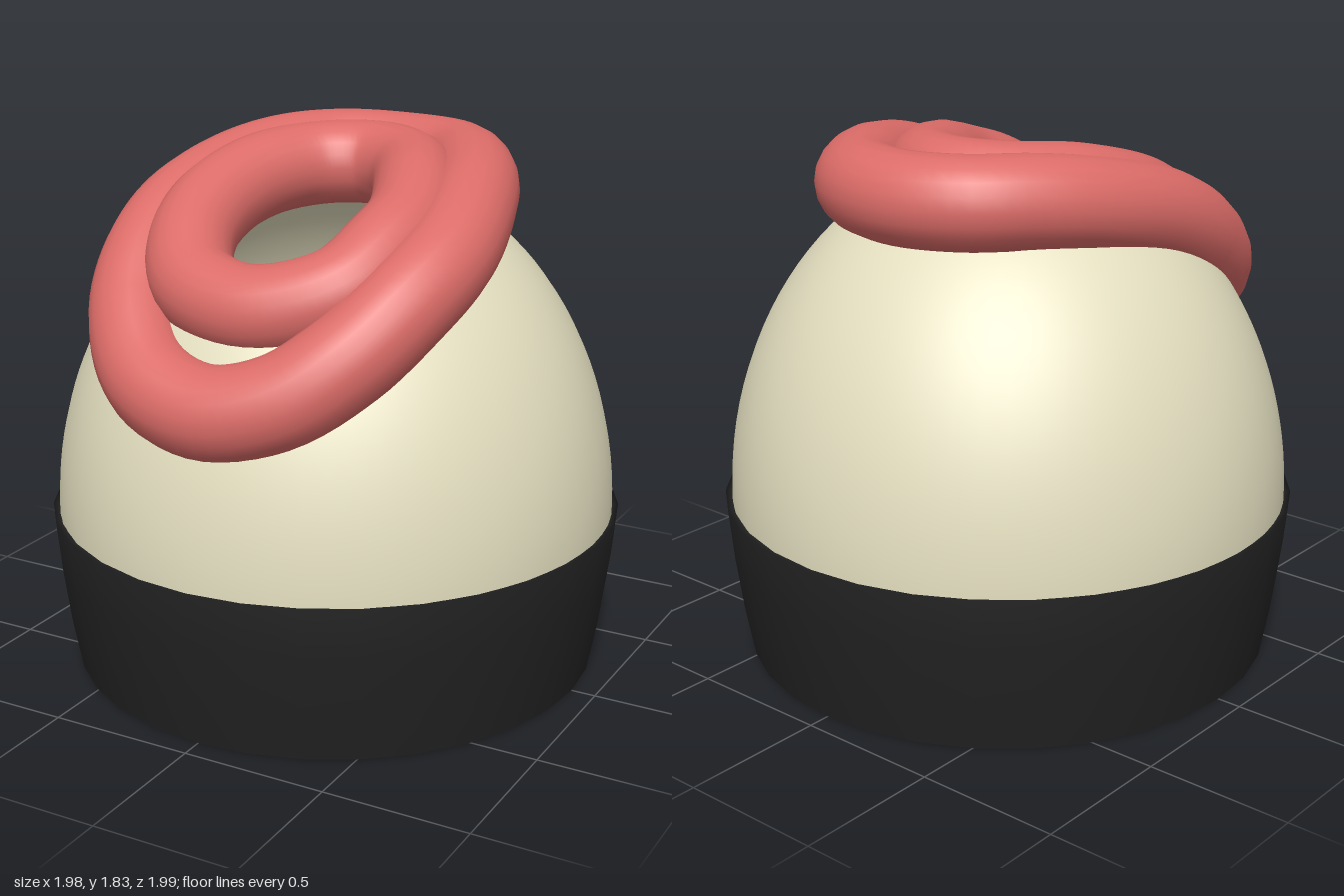
import * as THREE from 'three';
import { ParametricGeometry } from 'three/addons/geometries/ParametricGeometry.js';

const RIM_R = 0.968, RIM_Y = 0.54, DOME_H = 1.19;

const domeY = (x, z) =>
  RIM_Y + DOME_H * Math.sqrt(Math.max(0, 1 - (x * x + z * z) / (RIM_R * RIM_R)));

const loop = (points) =>
  new THREE.CatmullRomCurve3(points.map((p) => new THREE.Vector3(...p)), true);

function mesh(name, geometry, color, side = THREE.FrontSide) {
  const m = new THREE.Mesh(geometry, new THREE.MeshStandardMaterial({ color, side }));
  m.name = name;
  return m;
}

export function createModel() {
  const group = new THREE.Group();
  group.name = 'domeWithCoils';
  const red = 0xdc6c68, cream = 0xe4dfc0, black = 0x222222;

  // Centre lines of the two egg-shaped coils, clockwise from the back
  const outer = loop([
    [0, 1.67, -0.53], [0.22, 1.67, -0.47], [0.38, 1.665, -0.27], [0.49, 1.62, 0],
    [0.545, 1.53, 0.28], [0.51, 1.43, 0.48], [0.4, 1.28, 0.66], [0.23, 1.15, 0.78],
    [0, 1.095, 0.83], [-0.23, 1.15, 0.78], [-0.4, 1.3, 0.62], [-0.475, 1.45, 0.42],
    [-0.49, 1.56, 0.2], [-0.45, 1.635, -0.08], [-0.36, 1.67, -0.3], [-0.22, 1.675, -0.47],
  ]);
  const inner = loop([
    [-0.01, 1.685, -0.29], [0.16, 1.68, -0.22], [0.3, 1.655, 0], [0.37, 1.6, 0.2],
    [0.37, 1.55, 0.35], [0.31, 1.455, 0.52], [0.15, 1.395, 0.61], [0, 1.38, 0.63],
    [-0.2, 1.42, 0.57], [-0.31, 1.51, 0.42], [-0.345, 1.595, 0.22],
    [-0.3, 1.66, -0.02], [-0.18, 1.68, -0.22],
  ]);
  group.add(mesh('outerCoil', new THREE.TubeGeometry(outer, 96, 0.153, 20, true), red));
  group.add(mesh('innerCoil', new THREE.TubeGeometry(inner, 80, 0.145, 20, true), red));

  // Dome shell: spans from an opening under the inner coil out to the round rim
  const shell = new ParametricGeometry((u, v, target) => {
    const p = inner.getPoint(u - Math.floor(u));
    const a = u * Math.PI * 2, t = Math.sin((v * Math.PI) / 2);
    const x = THREE.MathUtils.lerp(p.x, RIM_R * Math.sin(a), t);
    const z = THREE.MathUtils.lerp(p.z, -RIM_R * Math.cos(a), t);
    target.set(x, domeY(x, z), z);
  }, 64, 24);
  group.add(mesh('dome', shell, cream, THREE.DoubleSide));

  // Narrow hem turned in under the dome
  const hem = new THREE.LatheGeometry(
    [new THREE.Vector2(0.935, 0.53), new THREE.Vector2(RIM_R, RIM_Y)], 64);
  group.add(mesh('domeHem', hem, cream, THREE.DoubleSide));

  // Open flared band around the base, with a thin lip at its top
  const profile = [[0.915, 0], [0.947, 0.18], [0.972, 0.37], [0.988, 0.55], [0.966, 0.545]];
  const band = new THREE.LatheGeometry(profile.map((p) => new THREE.Vector2(...p)), 32);
  band.scale(1, 1, 1.008);
  group.add(mesh('baseBand', band, black, THREE.DoubleSide));

  return group;
}
